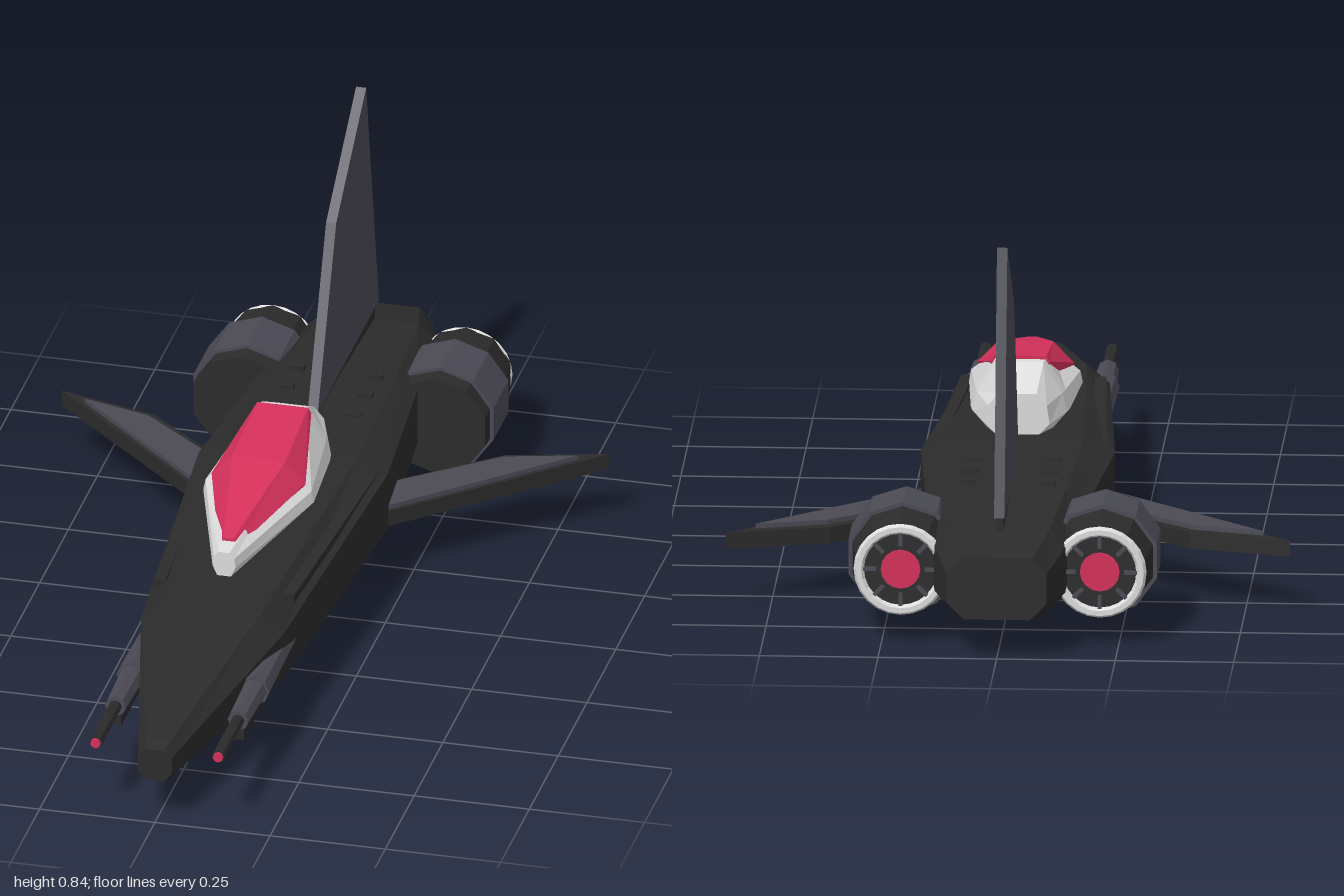
import * as THREE from 'three';

const mat = (name, color) => {
  const m = new THREE.MeshStandardMaterial({ color, flatShading: true });
  m.name = name;
  return m;
};

// Flat-faced hull through rings listed front to back; each ring runs counterclockwise seen from +z.
function loft(rings) {
  const pos = [];
  const tri = (...p) => p.forEach((v) => pos.push(...v));
  const n = rings[0].length;
  for (let r = 0; r < rings.length - 1; r++) {
    for (let i = 0; i < n; i++) {
      const j = (i + 1) % n;
      const [a, b, c, d] = [rings[r][i], rings[r][j], rings[r + 1][j], rings[r + 1][i]];
      tri(a, d, c);
      tri(a, c, b);
    }
  }
  const first = rings[0], last = rings[rings.length - 1];
  for (let i = 1; i < n - 1; i++) {
    tri(first[0], first[i], first[i + 1]);
    tri(last[0], last[i + 1], last[i]);
  }
  const g = new THREE.BufferGeometry();
  g.setAttribute('position', new THREE.Float32BufferAttribute(pos, 3));
  g.computeVertexNormals();
  return g;
}

// Mirrored ring from its right-hand points [x, y], bottom to top.
const ring = (z, half) => [
  ...half.map(([x, y]) => [x, y, z]),
  ...[...half].reverse().map(([x, y]) => [-x, y, z]),
];

// Horizontal plate from [x, z] corners between two heights.
function plate(corners, side, y0, y1) {
  const shape = new THREE.Shape(corners.map(([x, z]) => new THREE.Vector2(side * x, -z)));
  return new THREE.ExtrudeGeometry(shape, { depth: y1 - y0, bevelEnabled: false })
    .rotateX(-Math.PI / 2).translate(0, y0, 0);
}

// Cylinder along z from its front to its back end.
function barrel(rFront, rBack, zFront, zBack, sides) {
  return new THREE.CylinderGeometry(rFront, rBack, zFront - zBack, sides)
    .rotateX(Math.PI / 2).translate(0, 0, (zFront + zBack) / 2);
}

export function createModel() {
  const black = mat('hull black', 0x2b2b2b);
  const grey = mat('panel grey', 0x4b4a54);
  const white = mat('trim white', 0xdcdcdc);
  const red = mat('signal red', 0xd4305a);

  const model = new THREE.Group();
  model.name = 'starfighter';
  const add = (name, geometry, material, parent = model) => {
    const m = new THREE.Mesh(geometry, material);
    m.name = name;
    parent.add(m);
    return m;
  };
  const box = (name, w, h, d, x, y, z, material, parent) =>
    add(name, new THREE.BoxGeometry(w, h, d).translate(x, y, z), material, parent);

  // Fuselage: z, half width, top flat, bottom flat, bottom, lower side, upper side, top
  const hull = [
    [1, 0.037, 0.02, 0.02, 0.1, 0.12, 0.155, 0.172],
    [0.97, 0.043, 0.025, 0.025, 0.095, 0.115, 0.16, 0.18],
    [0.5, 0.155, 0.105, 0.1, 0.055, 0.11, 0.215, 0.255],
    [-0.2, 0.205, 0.14, 0.13, 0.027, 0.115, 0.245, 0.277],
    [-0.58, 0.172, 0.125, 0.115, 0.04, 0.115, 0.24, 0.268],
    [-0.87, 0.14, 0.105, 0.095, 0.062, 0.115, 0.215, 0.25],
    [-1, 0.105, 0.075, 0.07, 0.085, 0.12, 0.185, 0.22],
  ];
  add('fuselage', loft(hull.map(([z, w, t, b, y0, ya, yb, y1]) =>
    ring(z, [[b, y0], [w, ya], [w, yb], [t, y1]]))), black);

  // Cockpit: white tub with the red glass set over it
  add('cockpitTub', loft([
    ring(0.4, [[0.015, 0.282], [0.025, 0.305], [0.022, 0.325], [0.012, 0.337]]),
    ring(0.1, [[0.08, 0.28], [0.12, 0.32], [0.115, 0.345], [0.055, 0.392]]),
    ring(-0.1, [[0.075, 0.28], [0.105, 0.315], [0.095, 0.355], [0.055, 0.423]]),
    ring(-0.13, [[0.07, 0.28], [0.1, 0.315], [0.09, 0.355], [0.05, 0.422]]),
    ring(-0.22, [[0.045, 0.287], [0.068, 0.31], [0.062, 0.35], [0.04, 0.375]]),
  ]), white);
  add('cockpitGlass', loft([
    ring(0.36, [[0.012, 0.325], [0.022, 0.335], [0.01, 0.35]]),
    ring(0.1, [[0.09, 0.33], [0.102, 0.362], [0.058, 0.408]]),
    ring(-0.11, [[0.05, 0.37], [0.062, 0.418], [0.055, 0.43]]),
  ]), red);

  // Tail fin
  const finShape = new THREE.Shape([[0.37, 0.28], [0.9, 0.28], [0.79, 0.84], [0.53, 0.65]]
    .map(([back, y]) => new THREE.Vector2(back, y)));
  add('tailFin', new THREE.ExtrudeGeometry(finShape, { depth: 0.022, bevelEnabled: false })
    .translate(0, 0, -0.011).rotateY(Math.PI / 2), grey);
  box('finMount', 0.016, 0.035, 0.48, 0, 0.263, -0.64, black);

  // Belly hatch
  box('bellyHatch', 0.165, 0.03, 0.26, 0, 0.03, -0.13, black);

  for (const side of [1, -1]) {
    const name = side > 0 ? 'left' : 'right';
    const half = new THREE.Group();
    half.name = name + 'Side';
    model.add(half);

    // Swept wing with a raised upper panel
    add('wing', plate([[0.1, -0.105], [0.595, -0.572], [0.38, -0.512], [0.1, -0.275]],
      side, 0.12, 0.155), black, half);
    add('wingPanel', plate([[0.1, -0.115], [0.535, -0.53], [0.385, -0.488], [0.1, -0.25]],
      side, 0.154, 0.165), grey, half);

    // Ten-sided engine
    const engine = new THREE.Group();
    engine.name = name + 'Engine';
    engine.position.set(side * 0.21, 0.158, 0);
    half.add(engine);
    add('engineIntake', barrel(0.112, 0.114, -0.6, -0.645, 10), black, engine);
    add('engineBand', barrel(0.121, 0.121, -0.637, -0.77, 10), grey, engine);
    add('engineNozzle', barrel(0.113, 0.1, -0.765, -0.865, 10), black, engine);
    add('nozzleRing', new THREE.TorusGeometry(0.088, 0.011, 6, 24).translate(0, 0, -0.868), white, engine);
    add('exhaustGlow', barrel(0.042, 0.042, -0.85, -0.869, 16), red, engine);
    for (let i = 0; i < 8; i++) {
      const spoke = box('nozzleVane', 0.008, 0.03, 0.012, 0, 0.066, -0.866, grey, engine);
      spoke.rotation.z = (i * Math.PI) / 4;
    }

    // Nose cannon
    const cannon = new THREE.Group();
    cannon.name = name + 'Cannon';
    cannon.position.set(side * 0.133, 0.163, 0);
    half.add(cannon);
    add('cannonHousing', barrel(0.033, 0.027, 0.67, 0.36, 8), grey, cannon);
    add('cannonSleeve', barrel(0.023, 0.027, 0.81, 0.66, 8), grey, cannon);
    add('cannonBarrel', barrel(0.014, 0.014, 0.98, 0.8, 8), black, cannon);
    add('cannonTip', barrel(0.011, 0.011, 0.986, 0.975, 8), red, cannon);
    box('cannonGuard', 0.02, 0.025, 0.3, 0, -0.038, 0.65, black, cannon);

    // Shoulder rail, deck vents and landing skid
    const rail = box('shoulderRail', 0.025, 0.018, 0.6, 0, 0, 0, black, half);
    rail.position.set(side * 0.158, 0.246, 0.1);
    rail.rotation.y = -side * 0.06;
    for (const z of [-0.39, -0.485, -0.575])
      box('deckVent', 0.032, 0.014, 0.014, side * 0.085, 0.272, z, black, half);
    box('landingSkid', 0.014, 0.01, 0.15, side * 0.095, 0.005, -0.125, white, half);
  }
  return model;
}
